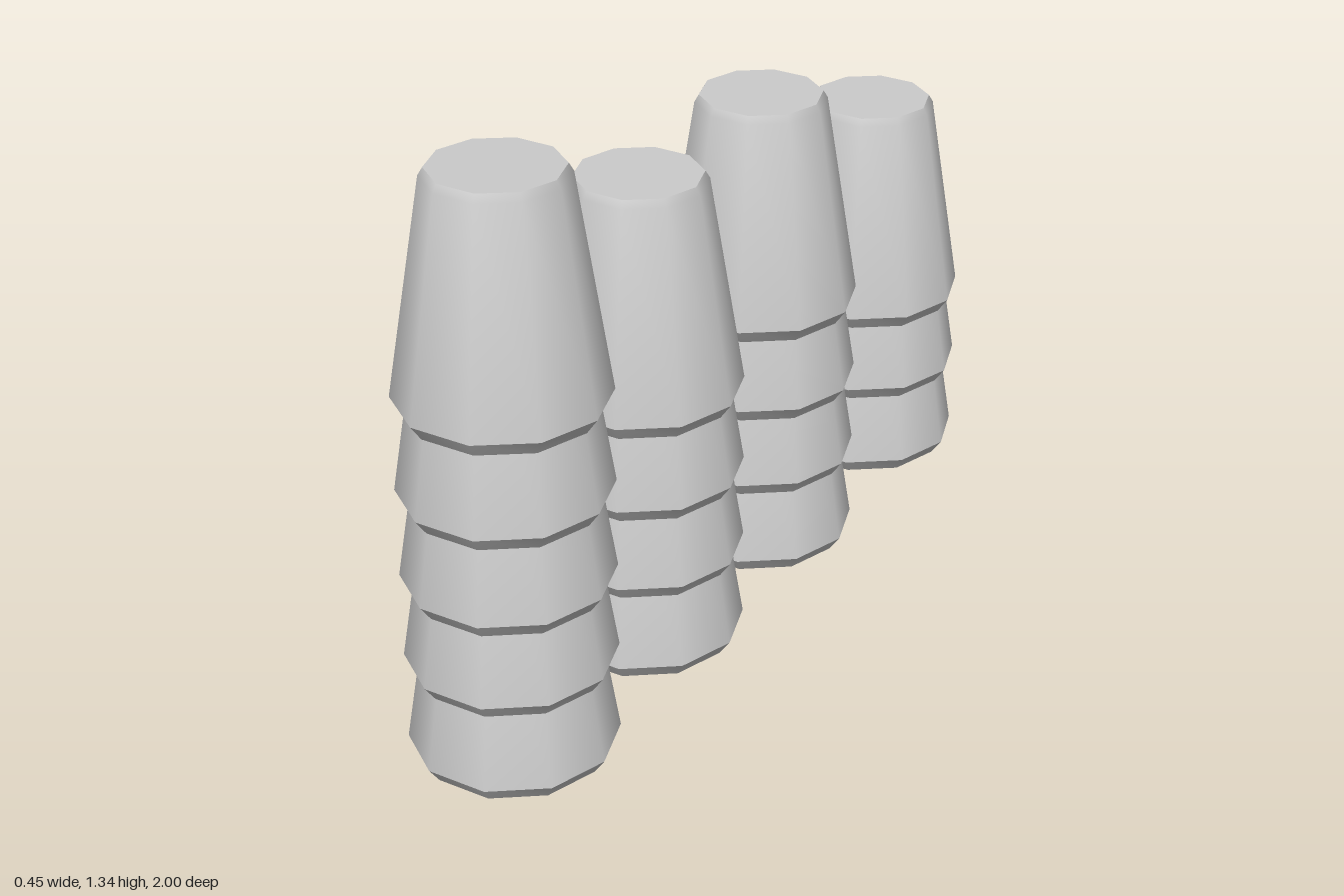
import * as THREE from 'three';
import { toCreasedNormals } from 'three/addons/utils/BufferGeometryUtils.js';

const SIDES = 10;

// Upside-down hollow cup: rolled lip, tapered wall, bevelled closed top
function cupGeometry() {
  const profile = [
    [0.2, 0], [0.225, 0.035], [0.15, 0.51], [0.14, 0.527], [0, 0.527],
  ].map(([r, y]) => new THREE.Vector2(r, y));
  const lathe = new THREE.LatheGeometry(profile, SIDES, Math.PI / 2);
  return toCreasedNormals(lathe, 0.7);
}

export function createModel() {
  const model = new THREE.Group();
  model.name = 'stackedCups';
  const material = new THREE.MeshStandardMaterial({ color: 0xcccccc, side: THREE.DoubleSide });
  const geometry = cupGeometry();
  const levels = [0, 0.205, 0.4, 0.602, 0.814];

  // Four nested stacks, tallest at the front
  const stacks = [
    { z: 0.786, count: 5 },
    { z: 0.269, count: 4 },
    { z: -0.246, count: 4 },
    { z: -0.786, count: 3 },
  ];
  stacks.forEach(({ z, count }, s) => {
    const stack = new THREE.Group();
    stack.name = `cupStack${s + 1}`;
    stack.position.z = z;
    for (let i = 0; i < count; i++) {
      const cup = new THREE.Mesh(geometry, material);
      cup.name = `cup${i + 1}`;
      cup.position.y = levels[i];
      // The highest cup leans back very slightly
      if (i === 4) cup.rotation.x = -0.012;
      stack.add(cup);
    }
    model.add(stack);
  });
  return model;
}
